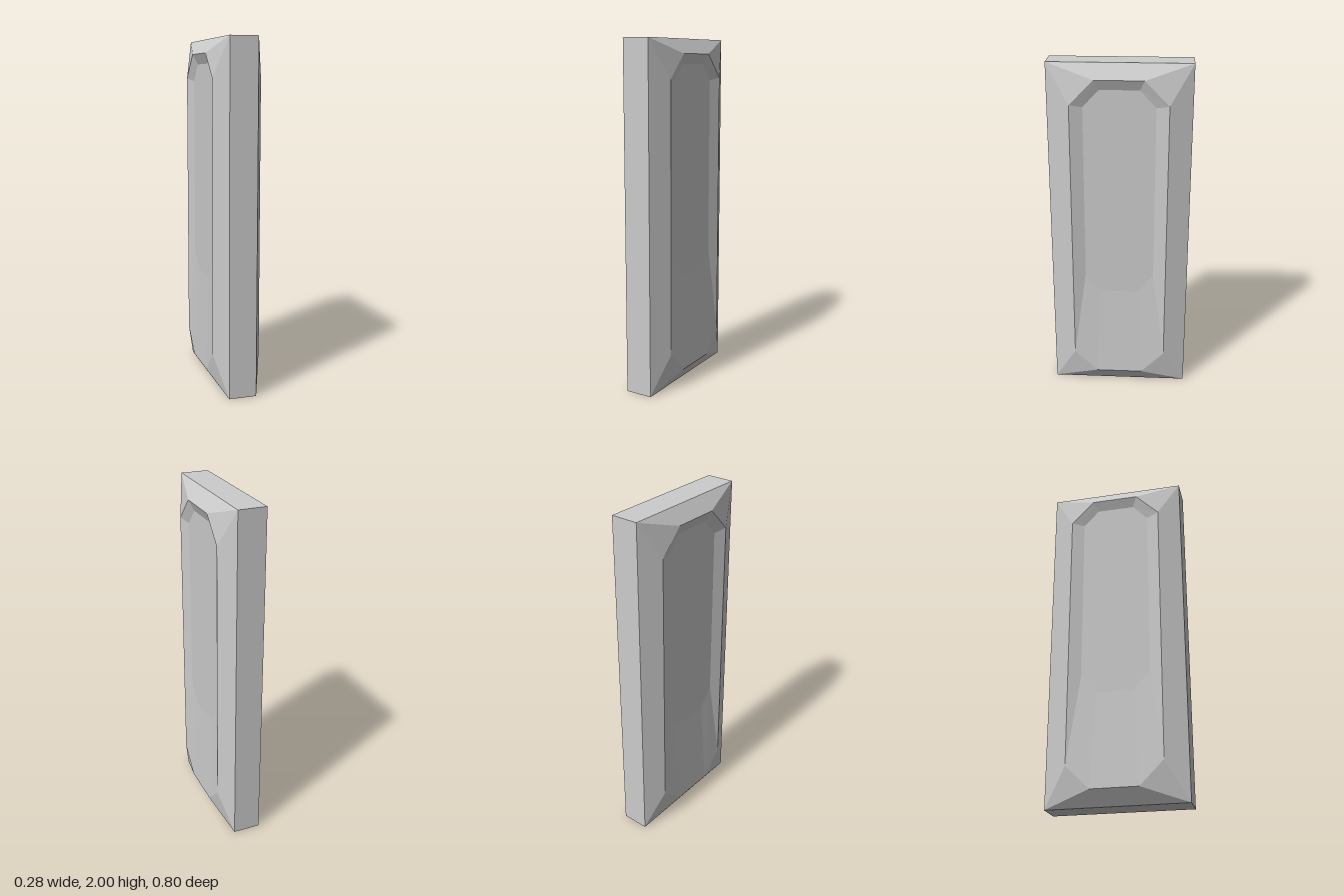
import * as THREE from 'three';

const material = new THREE.MeshStandardMaterial({ color: 0xcccccc, flatShading: true });

// Eight-point outline at depth x, listed counter-clockwise as seen from +x.
// Each end has a narrow edge (half width zEnd at yEnd) chamfered to the sides.
function ring(x, zSide, zEnd, yTop, yTopSide, yBottomSide, yBottom) {
  const half = [[yTop, zEnd], [yTopSide, zSide], [yBottomSide, zSide], [yBottom, zEnd]];
  const mirrored = half.map(([y, z]) => [y, -z]).reverse();
  return [...half, ...mirrored].map(([y, z]) => new THREE.Vector3(x, y, z));
}

// Bridges successive rings with flat faces, optionally capping the last one.
function loft(name, rings, capped = false) {
  const positions = [];
  const triangle = (a, b, c) => {
    if (a.equals(b) || b.equals(c) || c.equals(a)) return;
    for (const p of [a, b, c]) positions.push(p.x, p.y, p.z);
  };
  for (let r = 0; r < rings.length - 1; r++) {
    const a = rings[r], b = rings[r + 1];
    for (let i = 0; i < 8; i++) {
      const j = (i + 1) % 8;
      triangle(a[i], a[j], b[j]);
      triangle(a[i], b[j], b[i]);
    }
  }
  if (capped) {
    const last = rings[rings.length - 1];
    for (let i = 1; i < 7; i++) triangle(last[0], last[i], last[i + 1]);
  }
  const geometry = new THREE.BufferGeometry();
  geometry.setAttribute('position', new THREE.Float32BufferAttribute(positions, 3));
  geometry.computeVertexNormals();
  const mesh = new THREE.Mesh(geometry, material);
  mesh.name = name;
  return mesh;
}

function createHalf(name) {
  const middle = ring(0, 0.4, 0.4, 2, 2, 0, 0);
  const edge = ring(0.08, 0.4, 0.4, 2, 2, 0, 0);
  const rim = ring(0.139, 0.272, 0.137, 1.917, 1.78, 0.223, 0.087);
  const floor = ring(0.114, 0.2, 0.11, 1.86, 1.765, 0.75, 0.64);

  const half = new THREE.Group();
  half.name = name;
  // Straight outer edge and bevel rising to the octagonal rim
  half.add(loft('bevelledFrame', [middle, edge, rim]));
  // Shallow recess, with a long ramp at the bottom
  half.add(loft('recessedPanel', [rim, floor], true));
  return half;
}

export function createModel() {
  const model = new THREE.Group();
  model.name = 'bevelledSlab';
  const left = createHalf('leftHalf');
  const right = createHalf('rightHalf');
  right.rotation.y = Math.PI;
  model.add(left, right);
  return model;
}
